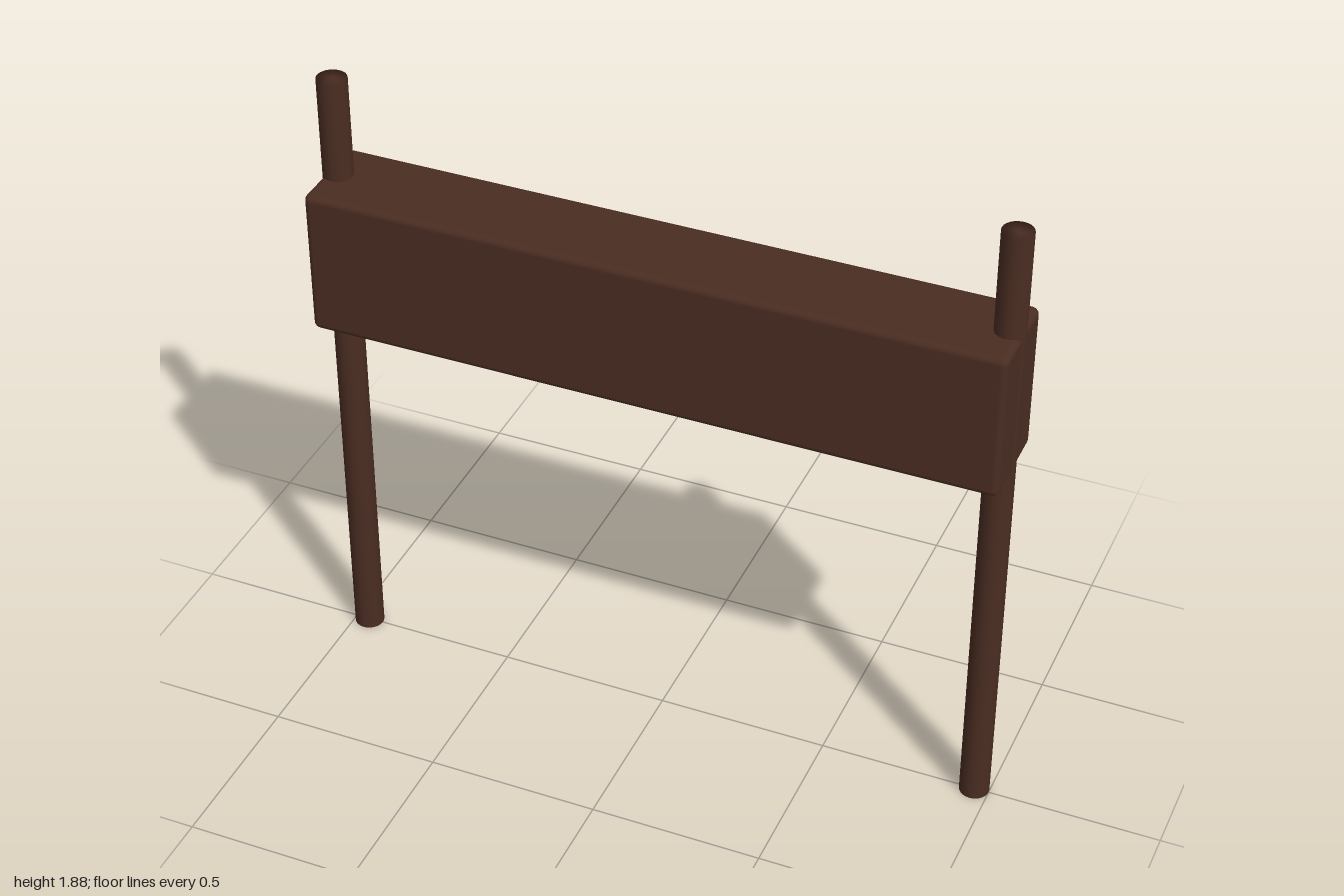
import * as THREE from 'three';
import { mergeVertices } from 'three/addons/utils/BufferGeometryUtils.js';
import { RoundedBoxGeometry } from 'three/addons/geometries/RoundedBoxGeometry.js';

const POST_HEIGHT = 1.875;
const POST_RADIUS = 0.043;

// Round post whose shading runs softly over the rims
function postGeometry() {
  const g = new THREE.CylinderGeometry(POST_RADIUS, POST_RADIUS, POST_HEIGHT, 24);
  g.deleteAttribute('uv');
  g.deleteAttribute('normal');
  const merged = mergeVertices(g, 1e-4);
  merged.computeVertexNormals();
  return merged;
}

export function createModel() {
  const model = new THREE.Group();
  model.name = 'postAndBeamSign';

  const wood = new THREE.MeshStandardMaterial({ color: 0x4a2d22 });
  wood.name = 'darkBrownWood';

  // Two posts passing through the ends of the beam
  const geometry = postGeometry();
  for (const [name, side] of [['leftPost', 1], ['rightPost', -1]]) {
    const post = new THREE.Mesh(geometry, wood);
    post.name = name;
    post.position.set(side * (1 - POST_RADIUS), POST_HEIGHT / 2, 0);
    model.add(post);
  }

  // Wide beam with softened edges
  const beam = new THREE.Mesh(new RoundedBoxGeometry(1.99, 0.435, 0.274, 3, 0.02), wood);
  beam.name = 'beam';
  beam.position.y = 1.357;
  model.add(beam);

  return model;
}
